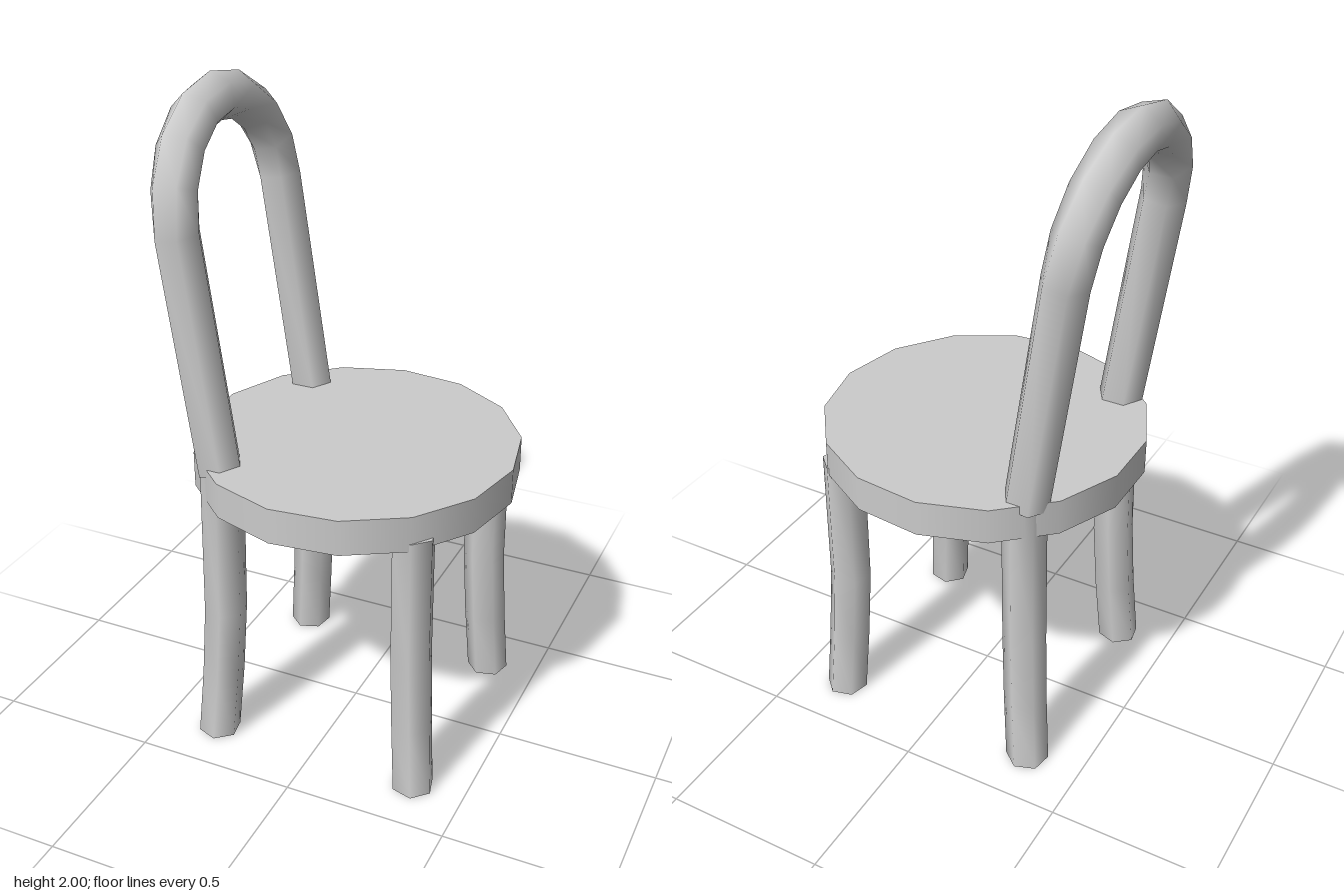
import * as THREE from 'three';

const SIDES = 6;
const material = new THREE.MeshStandardMaterial({ color: 0xcccccc, side: THREE.DoubleSide });

// One six-sided cross-section around c, spanned by the directions u and v
function ring(c, u, v, radius, phase) {
  return Array.from({ length: SIDES }, (_, i) => {
    const a = phase + (i / SIDES) * Math.PI * 2;
    return c.clone().addScaledVector(u, radius * Math.cos(a)).addScaledVector(v, radius * Math.sin(a));
  });
}

// Smooth skin over successive rings, with flat caps at both ends
function loft(rings) {
  const first = rings[0], last = rings[rings.length - 1];
  const points = [...rings.flat(), ...first, ...last];
  const index = [];
  for (let r = 0; r < rings.length - 1; r++) {
    for (let i = 0; i < SIDES; i++) {
      const a = r * SIDES + i, b = r * SIDES + (i + 1) % SIDES;
      index.push(a, b, a + SIDES, b, b + SIDES, a + SIDES);
    }
  }
  const start = rings.length * SIDES, end = start + SIDES;
  for (let i = 1; i < SIDES - 1; i++) {
    index.push(start, start + i + 1, start + i, end, end + i, end + i + 1);
  }
  const geometry = new THREE.BufferGeometry().setFromPoints(points);
  geometry.setIndex(index);
  geometry.computeVertexNormals();
  return geometry;
}

function addMesh(parent, name, geometry) {
  const mesh = new THREE.Mesh(geometry, material);
  mesh.name = name;
  parent.add(mesh);
  return mesh;
}

const X = new THREE.Vector3(1, 0, 0);
const Z = new THREE.Vector3(0, 0, 1);

// Leg: straight at the top, splayed outwards at the foot; stations are [x, y, z]
function legGeometry(stations, sx, sz, phase) {
  const turn = Math.atan2(sx * Math.cos(phase), sz * Math.sin(phase));
  return loft(stations.map(([x, y, z]) =>
    ring(new THREE.Vector3(sx * x, y, sz * z), Z, X, 0.065, turn)));
}

// Hoop: two posts joined by a half circle, the section turning gradually over the arc
function hoopGeometry() {
  const half = 0.305, postHeight = 0.71, radius = 0.07, steps = 8;
  const rings = [];
  const add = (y, angle) => {
    const radial = new THREE.Vector3(0, Math.sin(angle), Math.cos(angle));
    const center = radial.clone().multiplyScalar(half);
    center.y += y;
    rings.push(ring(center, X, radial.clone().negate(), radius, angle / 3));
  };
  add(0, 0);
  for (let i = 0; i <= steps; i++) add(postHeight, (i / steps) * Math.PI);
  add(0, Math.PI);
  return loft(rings);
}

export function createModel() {
  const model = new THREE.Group();
  model.name = 'chair';

  // Round seat with a corner towards the sitter's knees
  const seat = addMesh(model, 'seat',
    new THREE.CylinderGeometry(0.49, 0.49, 0.11, 15, 1, false, Math.PI / 2));
  seat.position.set(0.005, 0.9, 0);

  // Legs, mirrored across the chair
  const kneeLeg = [[0.338, 0, 0.33], [0.325, 0.22, 0.317], [0.315, 0.45, 0.307], [0.315, 0.87, 0.307]];
  const backLeg = [[0.325, 0, 0.33], [0.308, 0.22, 0.317], [0.296, 0.45, 0.307], [0.288, 0.94, 0.305]];
  for (const side of [1, -1]) {
    const word = side > 0 ? 'left' : 'right';
    addMesh(model, `${word}KneeSideLeg`,
      legGeometry(kneeLeg, 1, side, THREE.MathUtils.degToRad(15)));
    addMesh(model, `${word}BackrestSideLeg`,
      legGeometry(backLeg, -1, side, THREE.MathUtils.degToRad(40)));
  }

  // Backrest hoop, leaning back from the seat
  const backrest = addMesh(model, 'backrestHoop', hoopGeometry());
  backrest.position.set(-0.295, 0.93, 0);
  backrest.rotation.z = Math.atan(0.14);

  return model;
}
